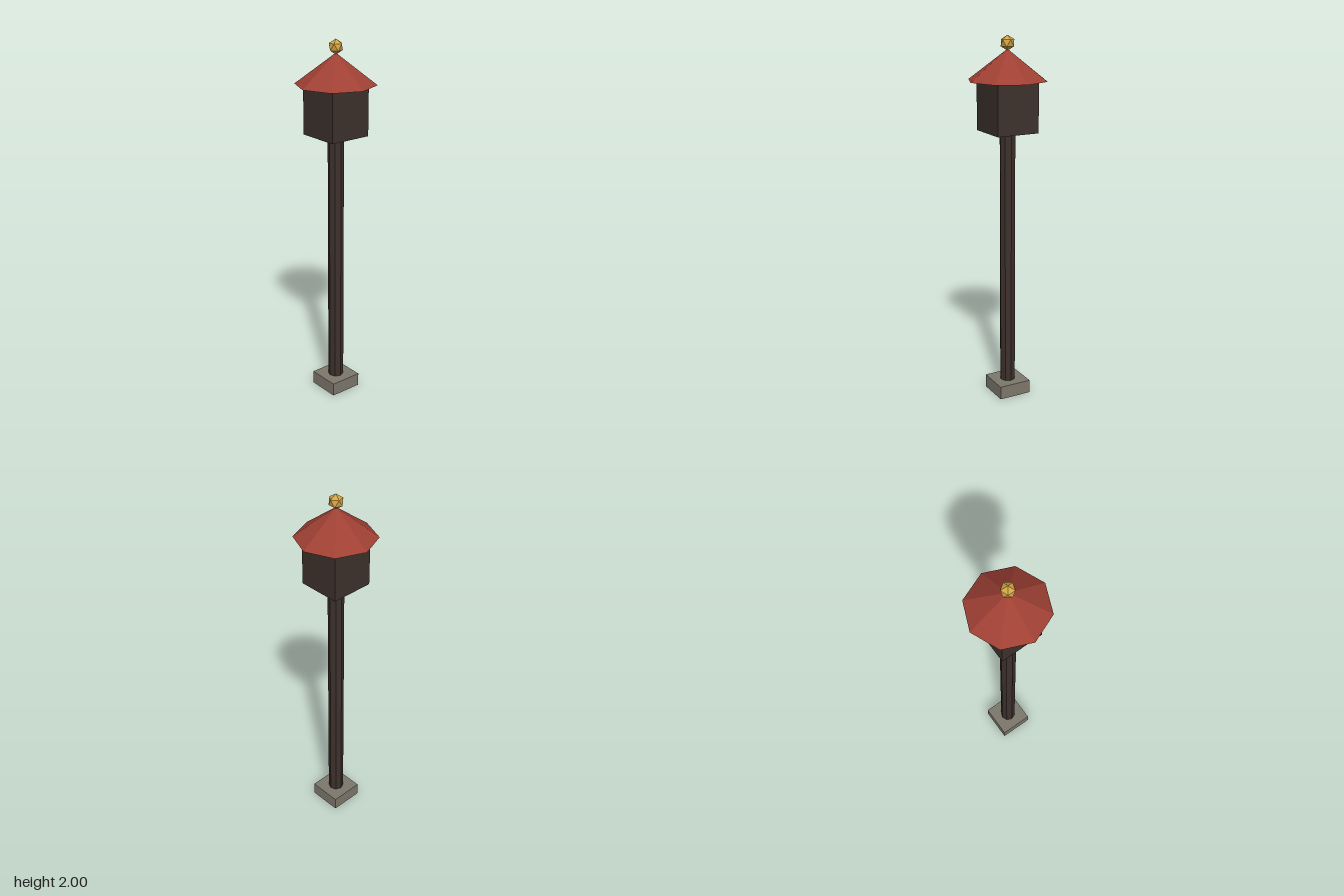
import * as THREE from 'three';

export function createModel() {
  const model = new THREE.Group();

  const add = (name, geometry, color, y) => {
    const material = new THREE.MeshStandardMaterial({ color, flatShading: true });
    const mesh = new THREE.Mesh(geometry, material);
    mesh.name = name;
    mesh.position.y = y;
    model.add(mesh);
  };

  const wood = 0x3d312c;

  // Square stone foot
  add('base', new THREE.BoxGeometry(0.185, 0.074, 0.185), 0x7d786c, 0.037);

  // Tall post running from the foot into the house
  add('post', new THREE.CylinderGeometry(0.043, 0.043, 1.49, 8), wood, 0.755);

  // Box house on top of the post
  add('house', new THREE.BoxGeometry(0.24, 0.27, 0.24), wood, 1.632);

  // Eight-sided overhanging roof
  add('roof', new THREE.ConeGeometry(0.215, 0.162, 8), 0xa04034, 1.848);

  // Faceted ball, turned so one corner points straight up
  const ball = new THREE.IcosahedronGeometry(0.04, 0);
  ball.rotateZ(-Math.atan(2 / (1 + Math.sqrt(5))));
  add('finial', ball, 0xd4a548, 1.96);

  return model;
}
